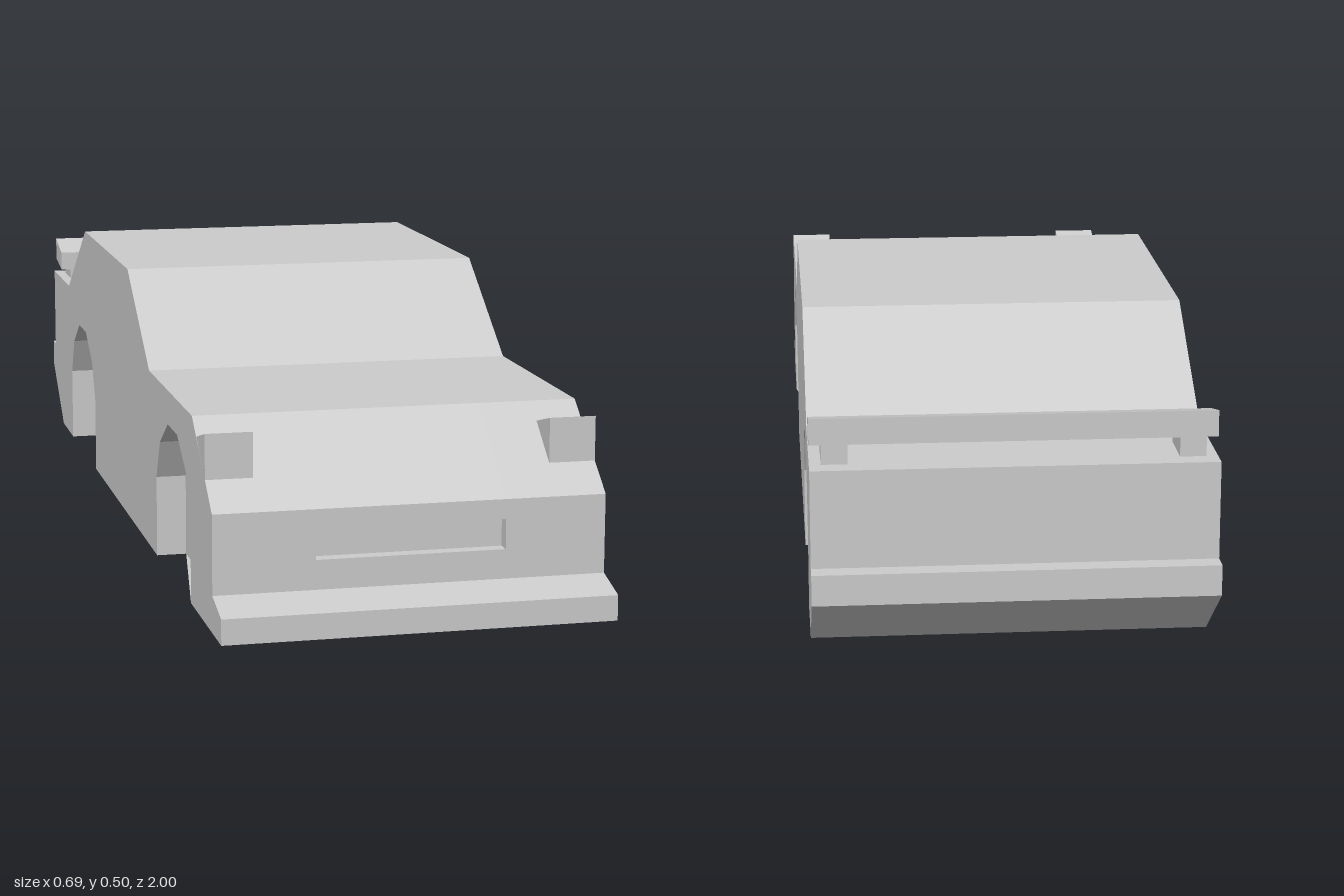
import * as THREE from 'three';

const material = new THREE.MeshStandardMaterial({ color: 0xcccccc, flatShading: true });
const HALF = 0.345; // half the car's width
const WELL = 0.29; // inner wall of the wheel wells
const GRILLE = 0.167; // half the grille's width

// Extrudes a side profile of [z, y] points across the car from x0 to x1.
function slab(name, profile, x0, x1) {
  const shape = new THREE.Shape(profile.map(([z, y]) => new THREE.Vector2(z, y)));
  const geometry = new THREE.ExtrudeGeometry(shape, { depth: x1 - x0, bevelEnabled: false });
  geometry.rotateY(-Math.PI / 2).translate(x1, 0, 0);
  const mesh = new THREE.Mesh(geometry, material);
  mesh.name = name;
  return mesh;
}

// Faceted wheel arch around z, listed from back to front.
function arch(z) {
  const half = [[0.17, 0], [0.17, 0.15], [0.13, 0.225], [0.047, 0.275]];
  return [
    ...half.map(([dz, y]) => [z - dz, y]),
    ...half.slice().reverse().map(([dz, y]) => [z + dz, y]),
  ];
}

export function createModel() {
  const car = new THREE.Group();
  car.name = 'car';

  // Side outline: bumper lip, nose, bonnet, cabin, boot, rear bumper
  const lip = [[1, 0], [1, 0.045], [0.925, 0.065]];
  const grille = [[0.925, 0.117], [0.9, 0.117], [0.9, 0.17], [0.925, 0.17]];
  const upper = [
    [0.925, 0.205], [0.75, 0.338], [0.32, 0.338], [0.083, 0.495], [-0.473, 0.495],
    [-0.73, 0.338], [-0.965, 0.338], [-0.965, 0.167], [-1, 0.167], [-1, 0.113], [-0.85, 0],
  ];
  const plain = [...lip, ...upper];

  // Centre slab with the grille recess
  car.add(slab('bodyCentre', [...lip, ...grille, ...upper], -GRILLE, GRILLE));

  for (const [side, s] of [['left', 1], ['right', -1]]) {
    const pair = (name, profile, a, b) =>
      car.add(slab(side + name, profile, Math.min(s * a, s * b), Math.max(s * a, s * b)));

    // Body beside the grille, then the outer skin with wheel arches
    pair('Body', plain, GRILLE, WELL);
    pair('Flank', [...plain, ...arch(-0.53), ...arch(0.56)], WELL, HALF);

    // Wedge headlight standing on the sloping nose
    pair('Headlight', [[0.865, 0.25], [0.865, 0.33], [0.79, 0.31]], 0.262, HALF);

    // Post carrying the rear wing
    pair('WingPost', [[-0.845, 0.335], [-0.845, 0.36], [-0.93, 0.375], [-0.93, 0.335]], 0.28, 0.325);

    // Small floor gusset closing part of the front wheel well
    const gusset = new THREE.Shape([
      new THREE.Vector2(s * WELL, -0.73),
      new THREE.Vector2(s * HALF, -0.73),
      new THREE.Vector2(s * WELL, -0.39),
    ]);
    const geometry = new THREE.ShapeGeometry(gusset).rotateX(-Math.PI / 2);
    const thin = material.clone();
    thin.side = THREE.DoubleSide;
    const mesh = new THREE.Mesh(geometry, thin);
    mesh.name = side + 'WellFloor';
    car.add(mesh);
  }

  // Rear wing blade
  car.add(slab('rearWing',
    [[-0.845, 0.358], [-0.845, 0.397], [-0.93, 0.418], [-0.93, 0.372]], -HALF, HALF));

  return car;
}
